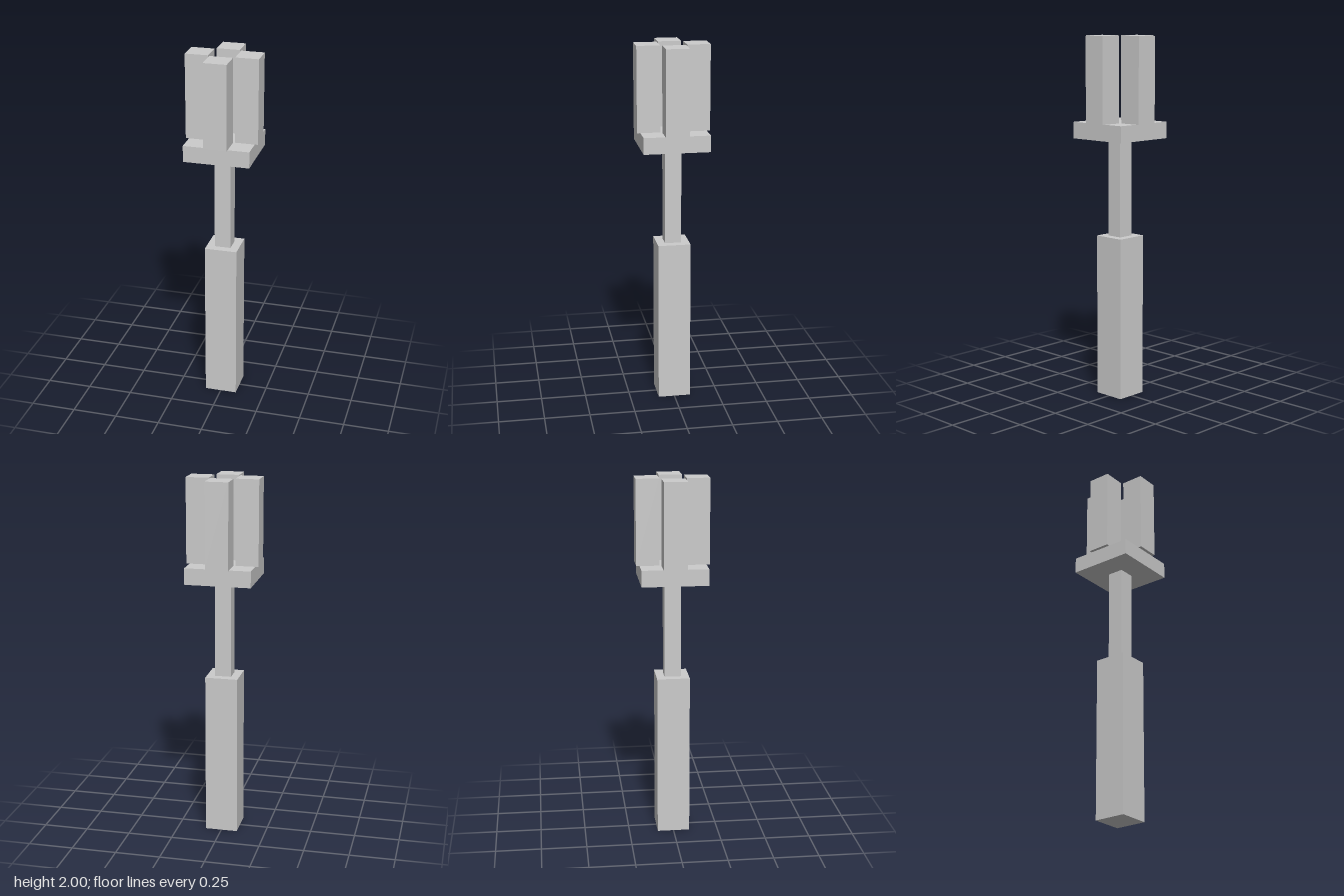
import * as THREE from 'three';

export function createModel() {
  const model = new THREE.Group();
  const material = new THREE.MeshStandardMaterial({ color: 0xcccccc, flatShading: true });

  // Square bar standing between two heights
  function addBar(name, width, bottom, top, x = 0, z = 0) {
    const bar = new THREE.Mesh(new THREE.BoxGeometry(width, top - bottom, width), material);
    bar.name = name;
    bar.position.set(x, (bottom + top) / 2, z);
    model.add(bar);
  }

  addBar('handle', 0.18, 0, 0.905);
  addBar('shaft', 0.09, 0.905, 1.445);
  addBar('headPlate', 0.36, 1.445, 1.535);

  // Four prongs, one overhanging the middle of each plate edge
  const offset = 0.135;
  const prongs = { leftProng: [1, 0], rightProng: [-1, 0], frontProng: [0, 1], backProng: [0, -1] };
  for (const [name, [x, z]] of Object.entries(prongs)) {
    addBar(name, 0.126, 1.535, 2, x * offset, z * offset);
  }

  return model;
}
